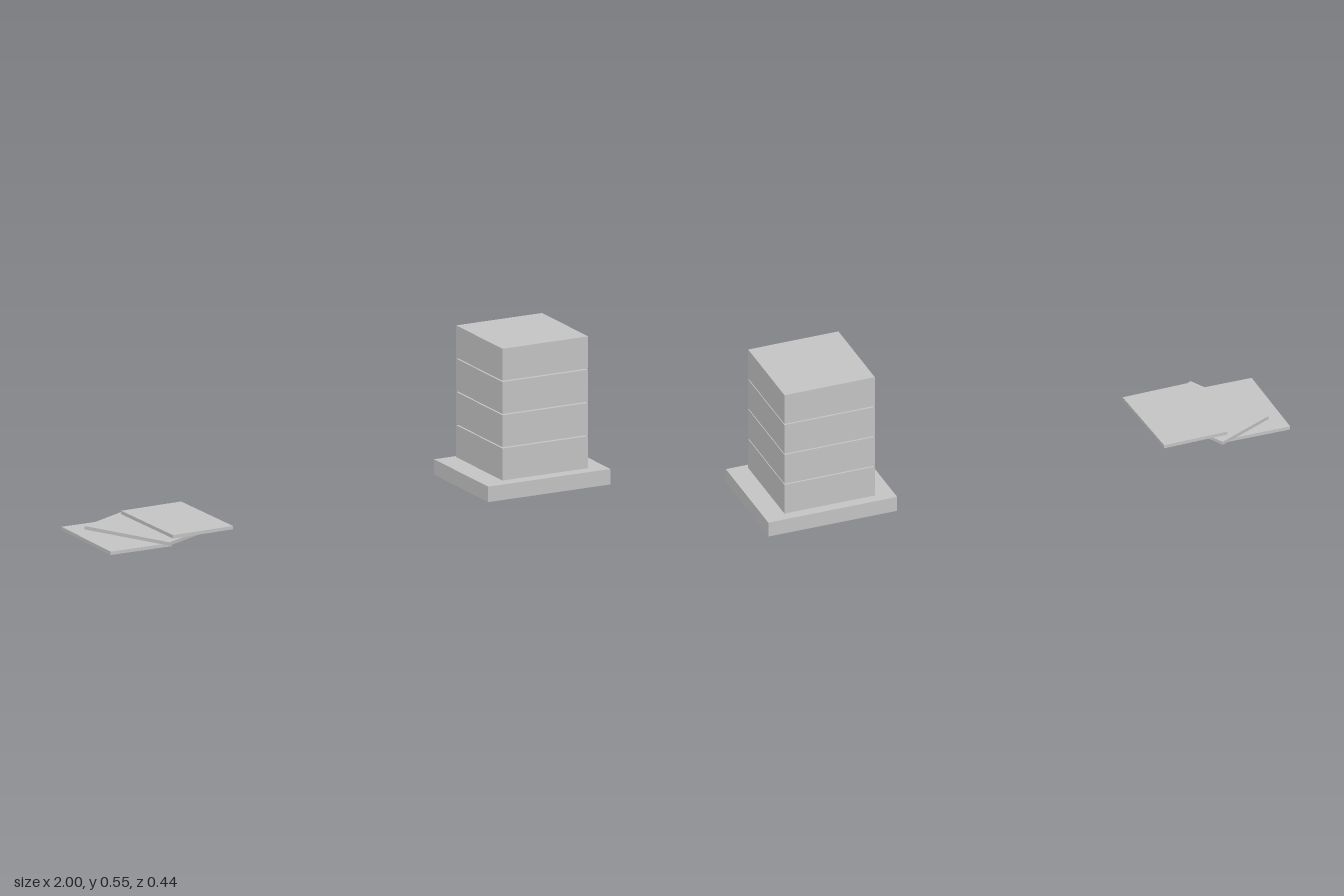
import * as THREE from 'three';

export function createModel() {
  const model = new THREE.Group();
  const lightGrey = new THREE.MeshStandardMaterial({ color: 0xc4c4c4 });
  lightGrey.name = 'light grey';

  // Box standing on height y, optionally turned about the vertical
  function box(name, [w, h, d], [x, y, z], turn = 0, parent = model) {
    const mesh = new THREE.Mesh(new THREE.BoxGeometry(w, h, d), lightGrey);
    mesh.name = name;
    mesh.position.set(x, y + h / 2, z);
    mesh.rotation.y = turn;
    parent.add(mesh);
  }

  // Tower: plinth with four stacked blocks separated by thin gaps
  const tower = new THREE.Group();
  tower.name = 'tower';
  tower.position.x = 0.754;
  model.add(tower);
  box('plinth', [0.492, 0.057, 0.408], [0, 0, 0], 0, tower);
  for (let i = 0; i < 4; i++) {
    box('block' + (i + 1), [0.345, 0.118, 0.348], [0, 0.0625 + i * 0.1225, 0], 0, tower);
  }

  // Three loose sheets fanned out on the ground
  const sheets = new THREE.Group();
  sheets.name = 'sheets';
  model.add(sheets);
  const sheetSize = [0.245, 0.0125, 0.37];
  box('bottomSheet', sheetSize, [-0.8775, 0, -0.002], 0, sheets);
  box('middleSheet', sheetSize, [-0.755, 0.0142, -0.002], 0.463, sheets);
  box('topSheet', sheetSize, [-0.634, 0.0284, -0.002], 0.03, sheets);

  return model;
}
